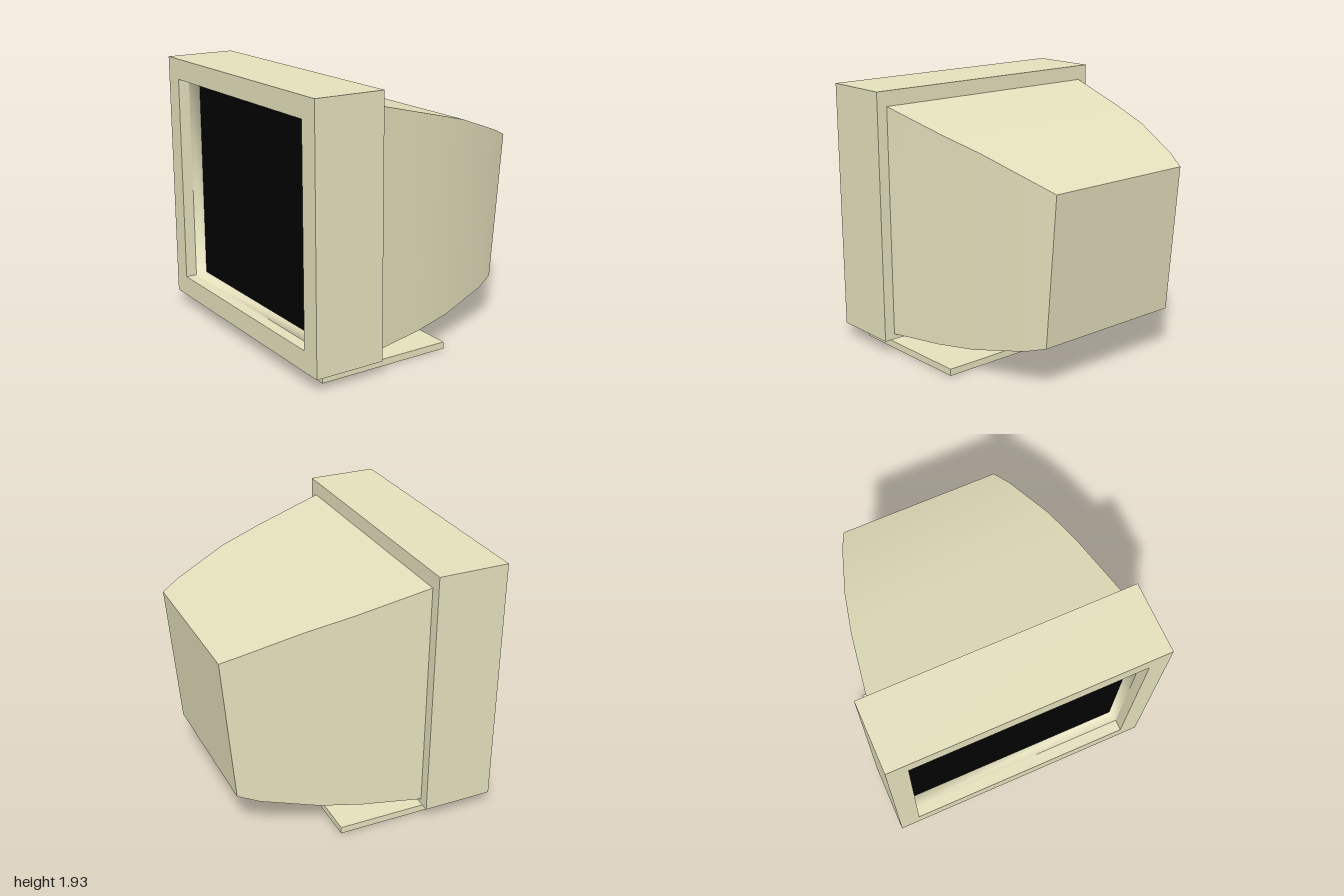
import * as THREE from 'three';
import { toCreasedNormals } from 'three/addons/utils/BufferGeometryUtils.js';

// Rectangular ring of four corners; the x of top and bottom edges may differ
function ring(xTop, xBottom, halfZ, yTop, yBottom) {
  return [
    [xTop, yTop, halfZ], [xTop, yTop, -halfZ],
    [xBottom, yBottom, -halfZ], [xBottom, yBottom, halfZ],
  ];
}

// Skin consecutive rings, optionally closing the last one
function loft(rings, cap) {
  const index = [];
  for (let i = 0; i < rings.length - 1; i++) {
    for (let j = 0; j < 4; j++) {
      const a = i * 4 + j, b = i * 4 + (j + 1) % 4;
      index.push(a, a + 4, b, b, a + 4, b + 4);
    }
  }
  if (cap) {
    const e = (rings.length - 1) * 4;
    index.push(e, e + 3, e + 2, e, e + 2, e + 1);
  }
  const geometry = new THREE.BufferGeometry();
  geometry.setAttribute('position', new THREE.Float32BufferAttribute(rings.flat(2), 3));
  geometry.setIndex(index);
  geometry.computeVertexNormals();
  return geometry;
}

export function createModel() {
  const group = new THREE.Group();
  const casing = new THREE.MeshStandardMaterial({ color: 0xe4e0bc });
  const glass = new THREE.MeshStandardMaterial({ color: 0x020202 });

  const add = (name, geometry, material = casing) => {
    const mesh = new THREE.Mesh(geometry, material);
    mesh.name = name;
    group.add(mesh);
    return mesh;
  };
  const addBox = (name, x0, x1, y0, y1, halfZ, material) =>
    add(name, new THREE.BoxGeometry(x1 - x0, y1 - y0, halfZ * 2), material)
      .position.set((x0 + x1) / 2, (y0 + y1) / 2, 0);

  // Front frame: opening lip, front rim, outer walls and back
  const lip = ring(-0.862, -0.862, 0.85, 1.78, 0.25);
  add('frontFrame', toCreasedNormals(loft([
    lip,
    ring(-0.945, -0.945, 0.85, 1.78, 0.25),
    ring(-0.945, -0.945, 1, 1.93, 0.1),
    ring(-0.428, -0.428, 1, 1.93, 0.1),
  ], true), 0.6));

  // Steep bezel with softly shaded corners, leading to the recessed screen
  add('bezel', loft([ring(-0.785, -0.785, 0.83, 1.765, 0.265), lip], false));
  addBox('screen', -0.785, -0.765, 0.26, 1.77, 0.835, glass);

  // Tapering rear housing with a tilted back face
  add('rearHousing', toCreasedNormals(loft([
    ring(-0.428, -0.428, 0.92, 1.82, 0.14),
    ring(0.09, 0.0, 0.84, 1.687, 0.168),
    ring(0.41, 0.3, 0.77, 1.603, 0.2),
    ring(0.805, 0.705, 0.65, 1.46, 0.278),
    ring(0.944, 0.853, 0.59, 1.4, 0.325),
  ], true), 0.6));

  // Foot: flat plate with a riser under the frame
  addBox('basePlate', -0.826, 0.188, 0, 0.05, 0.882);
  addBox('baseRiser', -0.826, -0.546, 0.05, 0.1, 0.882);

  return group;
}
